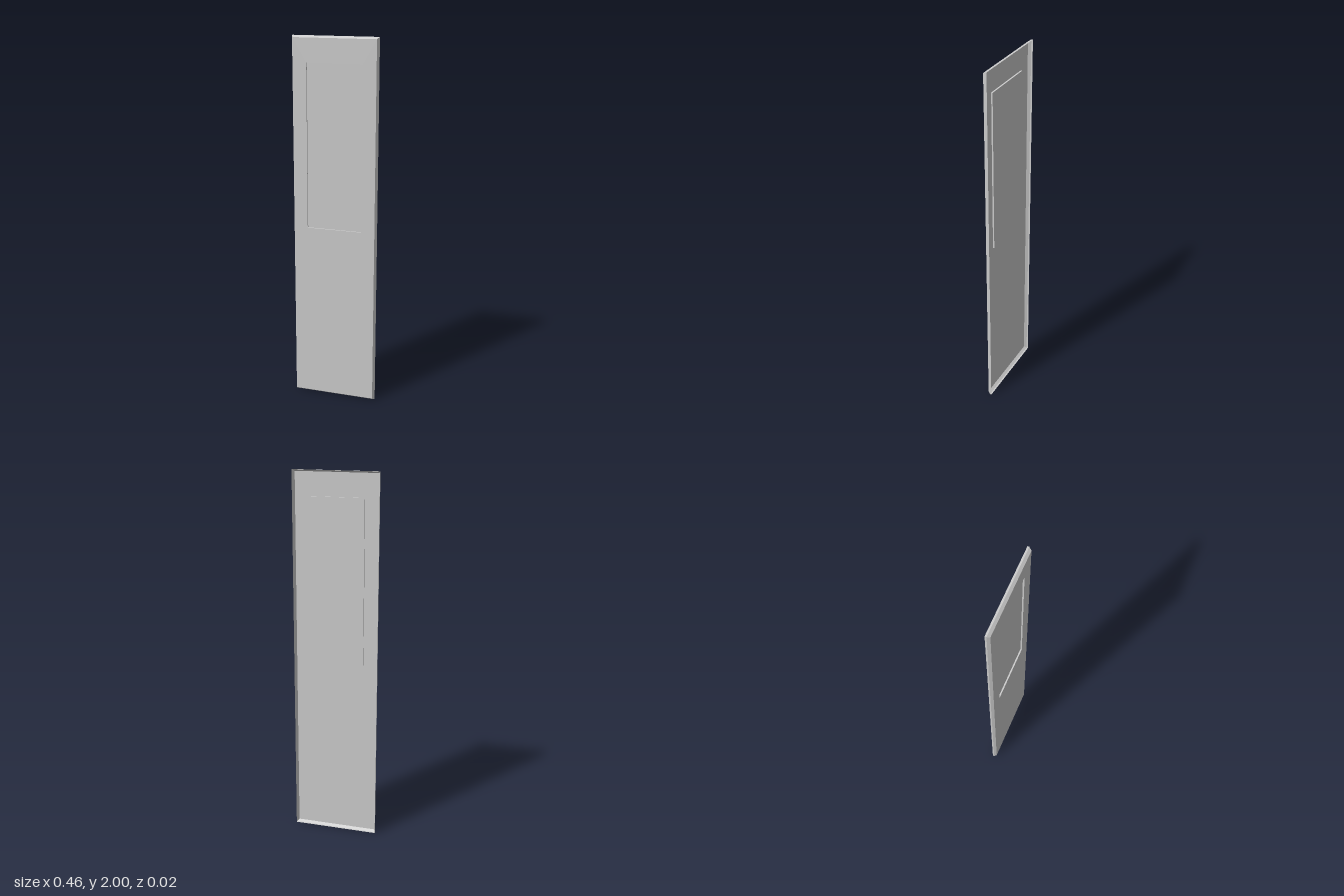
import * as THREE from 'three';

// Corners of a rectangle (counter-clockwise from the front) at depth z
const ring = (w, y0, y1, z) => [[-w, y0, z], [w, y0, z], [w, y1, z], [-w, y1, z]];

// Flat-faced sheet joining successive rectangles, outermost first
function sheet(name, rings, closed = false) {
  const pos = [];
  const quad = (a, b, c, d) => pos.push(...a, ...b, ...c, ...a, ...c, ...d);
  for (let i = 0; i < rings.length - 1; i++) {
    for (let k = 0; k < 4; k++) {
      const n = (k + 1) % 4;
      quad(rings[i][k], rings[i][n], rings[i + 1][n], rings[i + 1][k]);
    }
  }
  if (closed) quad(...rings[rings.length - 1]);
  const geometry = new THREE.BufferGeometry();
  geometry.setAttribute('position', new THREE.Float32BufferAttribute(pos, 3));
  geometry.computeVertexNormals();
  const mesh = new THREE.Mesh(geometry, new THREE.MeshStandardMaterial({
    color: 0xcccccc, flatShading: true, side: THREE.DoubleSide,
  }));
  mesh.name = name;
  return mesh;
}

export function createModel() {
  const door = new THREE.Group();
  door.name = 'doorPanel';

  const back = ring(0.232, 0, 2, -0.012);
  const shoulder = ring(0.232, 0, 2, -0.003);
  const front = ring(0.223, 0.01, 1.99, 0.011);
  const opening = ring(0.151, 0.98, 1.865, 0.011);
  const recess = ring(0.151, 0.98, 1.865, 0.003);

  // Folded rim, open at the back
  door.add(sheet('rim', [back, shoulder, front]));
  // Flat face around the window
  door.add(sheet('face', [front, opening]));
  // Recessed window pane with its side walls
  door.add(sheet('windowRecess', [opening, recess], true));

  return door;
}
